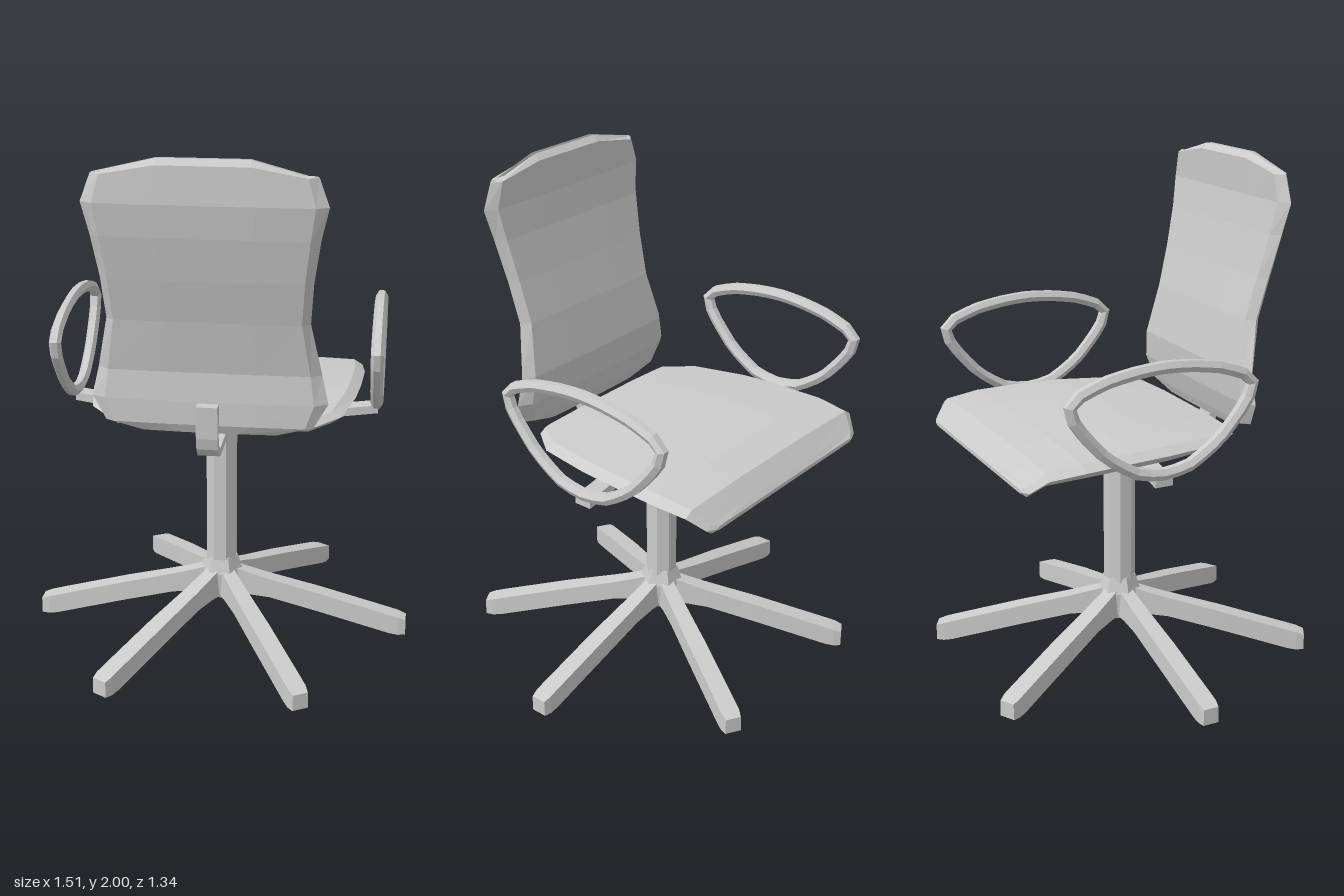
import * as THREE from 'three';

const material = new THREE.MeshStandardMaterial({ color: 0xcccccc, flatShading: true, side: THREE.DoubleSide });

function part(name, geometry, parent) {
  const mesh = new THREE.Mesh(geometry, material);
  mesh.name = name;
  parent.add(mesh);
  return mesh;
}

// Skin a list of equal-length closed loops and cap both ends, facing outward
function loft(loops) {
  const n = loops[0].length;
  const last = (loops.length - 1) * n;
  const points = loops.flat().map((p) => new THREE.Vector3(...p));
  const tris = [];
  for (let i = 0; i < loops.length - 1; i++) {
    for (let j = 0; j < n; j++) {
      const a = i * n + j, b = i * n + (j + 1) % n;
      tris.push([a, b, b + n], [a, b + n, a + n]);
    }
  }
  for (let j = 1; j < n - 1; j++) {
    tris.push([0, j + 1, j], [last, last + j, last + j + 1]);
  }
  const volume = tris.reduce((sum, [a, b, c]) =>
    sum + points[a].dot(points[b].clone().cross(points[c])), 0);
  if (volume < 0) tris.forEach((t) => t.reverse());
  const geometry = new THREE.BufferGeometry().setFromPoints(tris.flat().map((i) => points[i]));
  geometry.computeVertexNormals();
  return geometry;
}

// Cushion cross-section: bevelled sides and a slightly raised middle
function cushionSection(w, top, bottom, bevel, crown) {
  const mid = (top + bottom) / 2;
  const e = w - bevel;
  return [
    [-w, mid], [-e, top - crown], [-w * 0.42, top], [w * 0.42, top], [e, top - crown],
    [w, mid], [e, bottom + crown * 0.5], [w * 0.42, bottom], [-w * 0.42, bottom], [-e, bottom + crown * 0.5],
  ];
}

export function createModel() {
  const chair = new THREE.Group();
  chair.name = 'officeChair';

  // Six-legged base
  const base = new THREE.Group();
  base.name = 'base';
  chair.add(base);
  // radius, top, bottom, half width
  const legStations = [
    [0.04, 0.26, 0.14, 0.03], [0.1, 0.24, 0.14, 0.03], [0.2, 0.212, 0.132, 0.033],
    [0.4, 0.163, 0.083, 0.037], [0.69, 0.085, 0.005, 0.038], [0.725, 0.075, 0, 0.038], [0.755, 0.064, 0, 0.032],
  ];
  const legGeometry = loft(legStations.map(([r, t, b, w]) =>
    [[r, b, -w], [r, b, w], [r, t, w * 0.95], [r, t, -w * 0.95]]));
  for (let i = 0; i < 6; i++) {
    part('leg', legGeometry, base).rotation.y = i * Math.PI / 3;
  }

  // Hub and column
  const hubProfile = [[0, 0.13], [0.065, 0.13], [0.075, 0.15], [0.085, 0.24], [0.065, 0.305], [0, 0.305]];
  part('hub', new THREE.LatheGeometry(hubProfile.map((p) => new THREE.Vector2(...p)), 6, Math.PI / 6), base);
  const column = part('column', new THREE.CylinderGeometry(0.063, 0.063, 0.6, 8), chair);
  column.position.y = 0.57;
  column.rotation.y = Math.PI / 8;

  // Plate under the seat and its mount
  part('seatPlate', new THREE.CylinderGeometry(0.245, 0.235, 0.025, 6), chair).position.y = 0.937;
  part('seatMount', new THREE.CylinderGeometry(0.085, 0.055, 0.065, 8), chair).position.y = 0.898;

  // Seat: z, half width, top, bottom, bevel, crown
  const seatStations = [
    [0.305, 0.34, 0.985, 0.962, 0.02, 0.004], [0.285, 0.39, 1.0, 0.952, 0.03, 0.008],
    [0.17, 0.48, 1.01, 0.946, 0.04, 0.012], [-0.05, 0.523, 1.024, 0.94, 0.04, 0.018],
    [-0.2, 0.537, 1.024, 0.94, 0.04, 0.018], [-0.4, 0.545, 1.013, 0.94, 0.04, 0.012],
    [-0.535, 0.53, 0.993, 0.934, 0.035, 0.008], [-0.59, 0.48, 0.933, 0.89, 0.025, 0.005],
    [-0.605, 0.44, 0.915, 0.9, 0.015, 0],
  ];
  part('seat', loft(seatStations.map(([z, ...s]) =>
    cushionSection(...s).map(([x, y]) => [x, y, z]))), chair);

  // Backrest: y, half width, back z, front z, bevel
  const backStations = [
    [0.965, 0.25, 0.372, 0.355, 0.02], [1.0, 0.385, 0.388, 0.342, 0.03], [1.09, 0.437, 0.388, 0.318, 0.05],
    [1.2, 0.412, 0.382, 0.312, 0.04], [1.4, 0.37, 0.42, 0.352, 0.03], [1.56, 0.381, 0.46, 0.393, 0.03],
    [1.72, 0.405, 0.495, 0.43, 0.035], [1.84, 0.432, 0.514, 0.45, 0.045], [1.94, 0.395, 0.51, 0.447, 0.035],
  ];
  const backLoops = backStations.map(([y, w, back, front, bevel]) =>
    cushionSection(w, back, front, bevel, 0.006).map(([x, z]) => [x, y, z]));
  // Top edge drops toward the corners
  backLoops.push(backLoops[backLoops.length - 1].map(([x, y, z]) =>
    [x * 0.98, Math.abs(x) < 0.2 ? 1.997 : 1.945, 0.48 + (z - 0.48) * 0.3]));
  for (const p of backLoops[backLoops.length - 2]) if (Math.abs(p[0]) < 0.2) p[1] = 1.975;
  part('backrest', loft(backLoops), chair);

  // Bent bar carrying the backrest
  const bar = new THREE.Shape([
    [0, 0.865], [0.345, 0.865], [0.385, 0.88], [0.415, 0.915], [0.427, 0.96], [0.433, 1.085],
    [0.385, 1.085], [0.395, 0.965], [0.38, 0.92], [0.345, 0.897], [0, 0.897],
  ].map(([z, y]) => new THREE.Vector2(-z, y)));
  const barGeometry = new THREE.ExtrudeGeometry(bar, { depth: 0.08, bevelEnabled: false });
  barGeometry.translate(0, 0, -0.04).rotateY(Math.PI / 2);
  part('backSupport', barGeometry, chair);

  // Armrests: half outline as offset from the loop centre and height, mirrored to a closed loop
  const half = [[0.1, 1.338], [0.22, 1.318], [0.325, 1.28], [0.36, 1.243], [0.335, 1.175], [0.23, 1.052], [0.11, 0.972]];
  const outline = [
    [0, 1.344], ...half, [0, 0.952], ...half.slice().reverse().map(([z, y]) => [-z, y]),
  ];
  const armCurve = new THREE.CatmullRomCurve3(
    outline.map(([z, y]) => new THREE.Vector3(0, y, z - 0.13)), true, 'catmullrom', 0.3);
  const armGeometry = new THREE.TubeGeometry(armCurve, 32, 0.024, 6, true);
  for (const side of [1, -1]) {
    part(side > 0 ? 'leftArmrest' : 'rightArmrest', armGeometry, chair).position.x = side * 0.605;
    const armBar = [[0, 0, 0.865, 0.9], [0.61, -0.128, 0.905, 0.938]].map(([x, z, b, t]) => [
      [side * x, b, z - 0.035], [side * x, b, z + 0.035], [side * x, t, z + 0.035], [side * x, t, z - 0.035],
    ]);
    part(side > 0 ? 'leftArmSupport' : 'rightArmSupport', loft(armBar), chair);
  }

  return chair;
}
